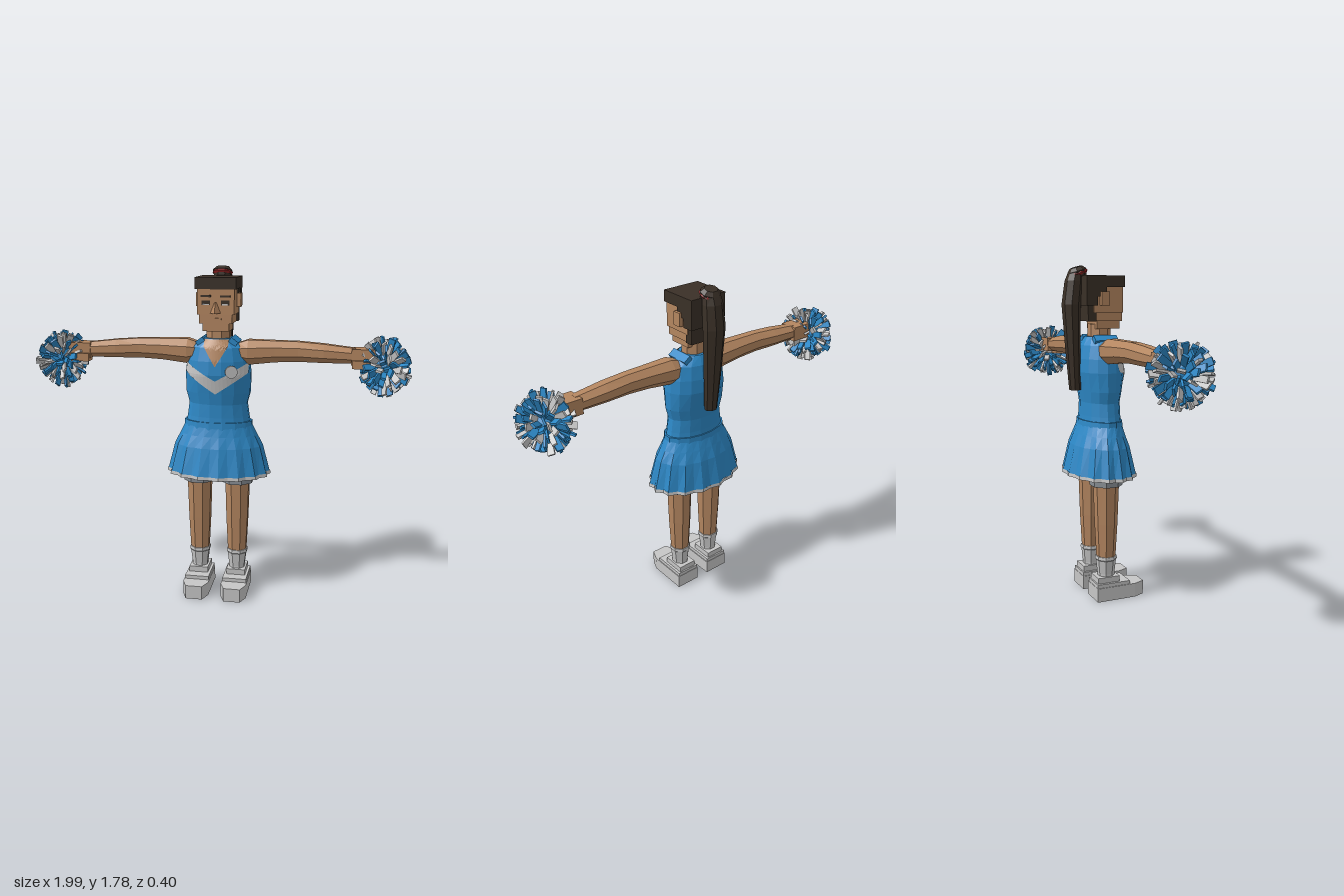
import * as THREE from 'three';
import { mergeGeometries } from 'three/addons/utils/BufferGeometryUtils.js';

const mat = (name, color, side = THREE.FrontSide) => {
  const m = new THREE.MeshStandardMaterial({ color, side });
  m.name = name;
  return m;
};
const blue = mat('uniform blue', 0x2d88c6, THREE.DoubleSide);
const white = mat('trim white', 0xc6c6c6, THREE.DoubleSide);
const skin = mat('skin', 0xb48660, THREE.DoubleSide);
const hair = mat('dark hair', 0x3a3027);
const red = mat('hair tie red', 0x8e2222);
const grey = mat('shorts grey', 0x8b9197);

// Flat-faced copy of a geometry
function flat(g) {
  const f = g.index ? g.toNonIndexed() : g;
  f.computeVertexNormals();
  return f;
}

// Stacked elliptical rings; section = [y, rx, rz, cx, cz, pleatDepth]
function column(sections, n = 8, capped = true) {
  const pos = [], idx = [];
  for (const [y, rx, rz, cx = 0, cz = 0, pleat = 0] of sections) {
    for (let i = 0; i < n; i++) {
      const a = ((i + 0.5) / n) * Math.PI * 2, k = i % 2 ? 1 - pleat : 1;
      pos.push(cx + Math.cos(a) * rx * k, y, cz - Math.sin(a) * rz * k);
    }
  }
  for (let r = 0; r < sections.length - 1; r++) {
    for (let i = 0; i < n; i++) {
      const a = r * n + i, b = r * n + (i + 1) % n;
      idx.push(a, b, b + n, a, b + n, a + n);
    }
  }
  if (capped) {
    const top = (sections.length - 1) * n;
    for (let i = 1; i < n - 1; i++) idx.push(0, i + 1, i, top, top + i, top + i + 1);
  }
  const g = new THREE.BufferGeometry();
  g.setAttribute('position', new THREE.Float32BufferAttribute(pos, 3));
  g.setIndex(idx);
  return flat(g);
}

// Box given by its limits on each axis
function box(x0, x1, y0, y1, z0, z1) {
  return new THREE.BoxGeometry(Math.abs(x1 - x0), y1 - y0, z1 - z0)
    .translate((x0 + x1) / 2, (y0 + y1) / 2, (z0 + z1) / 2);
}

const TORSO = [[0.94, 0.18, 0.105], [1.0, 0.168, 0.1], [1.07, 0.158, 0.098], [1.13, 0.174, 0.106],
  [1.23, 0.176, 0.122], [1.3, 0.168, 0.116], [1.37, 0.15, 0.1], [1.415, 0.085, 0.075]];

// Depth of the torso front at a point
function torsoFront(x, y) {
  let i = 0;
  while (i < TORSO.length - 2 && y > TORSO[i + 1][0]) i++;
  const [y0, a0, b0] = TORSO[i], [y1, a1, b1] = TORSO[i + 1];
  const t = Math.min(1, (y - y0) / (y1 - y0));
  const rx = a0 + (a1 - a0) * t, rz = b0 + (b1 - b0) * t;
  return rz * Math.sqrt(Math.max(0, 1 - (x / rx) ** 2));
}

// Thin patch that follows the torso between two height curves
function torsoPatch(halfWidth, low, high, offset) {
  const g = new THREE.PlaneGeometry(2 * halfWidth, 1, 16, 5), p = g.attributes.position;
  for (let i = 0; i < p.count; i++) {
    const x = p.getX(i), t = p.getY(i) + 0.5, y = low(Math.abs(x)) * (1 - t) + high(Math.abs(x)) * t;
    p.setXYZ(i, x, y, torsoFront(x, y) + offset);
  }
  return flat(g);
}

// Ball of radiating strips, split in two colours
function pompom(seed) {
  let s = seed;
  const rand = () => (s = (s * 16807) % 2147483647) / 2147483647;
  const sets = [[new THREE.IcosahedronGeometry(0.085, 1).toNonIndexed()], []];
  const count = 120, up = new THREE.Vector3(0, 1, 0);
  for (let i = 0; i < count; i++) {
    const y = 1 - (2 * i + 1) / count, r = Math.sqrt(1 - y * y), a = i * 2.39996;
    const dir = new THREE.Vector3(Math.cos(a) * r, y, Math.sin(a) * r);
    const len = 0.135 + rand() * 0.03;
    const strip = new THREE.BoxGeometry(0.028 + rand() * 0.012, len - 0.04, 0.012)
      .translate(0, (len + 0.04) / 2, 0).rotateY(rand() * Math.PI)
      .applyQuaternion(new THREE.Quaternion().setFromUnitVectors(up, dir));
    sets[rand() < 0.52 ? 0 : 1].push(strip.toNonIndexed());
  }
  return sets.map(list => flat(mergeGeometries(list).scale(0.86, 1, 1)));
}

export function createModel() {
  const model = new THREE.Group();
  const add = (name, geometry, material) => {
    const m = new THREE.Mesh(geometry, material);
    m.name = name;
    model.add(m);
    return m;
  };

  // Top and its decoration
  add('top', column(TORSO, 16), blue);
  add('chestChevron', torsoPatch(0.165, x => 1.13 + x * 0.66, x => 1.2 + x * 0.56, 0.004), white);
  add('neckline', torsoPatch(0.064, x => 1.275 + x * 1.6, () => 1.412, 0.004), skin);
  add('badge', new THREE.CylinderGeometry(0.033, 0.033, 0.012, 12).rotateX(Math.PI / 2)
    .rotateY(0.3).translate(0.085, 1.25, torsoFront(0.085, 1.25) + 0.007), white);

  // Skirt with pleats and hem
  add('waistband', column([[0.925, 0.186, 0.113], [0.975, 0.184, 0.108]], 16), blue);
  add('skirt', column([[0.693, 0.279, 0.183, 0, -0.004, 0.07], [0.84, 0.24, 0.148, 0, -0.004, 0.045],
    [0.9, 0.208, 0.125, 0, -0.003, 0.02], [0.95, 0.183, 0.108]], 32, false), blue);
  add('skirtHem', column([[0.677, 0.285, 0.188, 0, -0.004, 0.07], [0.695, 0.282, 0.186, 0, -0.004, 0.07]],
    32, false), white);
  add('shortsHips', column([[0.71, 0.17, 0.095], [0.9, 0.17, 0.1]], 12), grey);

  // Neck and head
  add('neck', column([[1.32, 0.072, 0.066], [1.4, 0.068, 0.062], [1.48, 0.064, 0.06]], 8), skin);
  add('face', box(-0.096, 0.096, 1.54, 1.69, -0.07, 0.094), skin);
  add('cheeks', box(-0.085, 0.085, 1.495, 1.54, -0.06, 0.094), skin);
  add('jaw', box(-0.068, 0.068, 1.455, 1.495, -0.04, 0.088), skin);
  add('nose', flat(new THREE.CylinderGeometry(0.006, 0.034, 0.055, 4).scale(0.8, 1, 1)
    .translate(0, 1.575, 0.096)), skin);
  add('mouth', box(-0.03, 0.03, 1.515, 1.523, 0.09, 0.097), skin);

  // Hair cap, steps at the back
  add('hairTop', box(-0.106, 0.106, 1.668, 1.727, -0.112, 0.1), hair);
  add('hairBack', box(-0.106, 0.106, 1.575, 1.67, -0.112, -0.05), hair);
  add('hairNape', box(-0.094, 0.094, 1.495, 1.576, -0.1, -0.055), hair);

  // Ponytail with its knot and tie
  add('ponytail', column([[1.135, 0.036, 0.03, 0, -0.138], [1.35, 0.05, 0.038, 0, -0.149],
    [1.58, 0.062, 0.048, 0, -0.157], [1.7, 0.056, 0.046, 0, -0.142], [1.75, 0.045, 0.034, 0, -0.132]], 8), hair);
  const knot = new THREE.Group();
  knot.name = 'hairKnot';
  const bun = new THREE.Mesh(column([[-0.03, 0.046, 0.042], [0.005, 0.054, 0.05], [0.024, 0.036, 0.032]], 8), hair);
  bun.name = 'bun';
  const tie = new THREE.Mesh(flat(new THREE.TorusGeometry(0.044, 0.011, 5, 10).rotateX(Math.PI / 2)
    .translate(0, -0.006, 0)), red);
  tie.name = 'hairTie';
  knot.add(bun, tie);
  knot.position.set(0, 1.747, -0.123);
  knot.rotation.x = -0.3;
  model.add(knot);

  for (const s of [1, -1]) {
    const side = s > 0 ? 'left' : 'right';
    const sbox = (x0, x1, ...rest) => box(s * x0, s * x1, ...rest);

    // Face details
    add(side + 'Ear', sbox(0.09, 0.118, 1.575, 1.645, -0.035, 0.01), skin);
    add(side + 'Sideburn', sbox(0.09, 0.104, 1.62, 1.67, -0.06, 0.0), hair);
    add(side + 'Eye', sbox(0.028, 0.072, 1.588, 1.612, 0.092, 0.096), hair);
    add(side + 'EyeWhite', sbox(0.034, 0.066, 1.588, 1.595, 0.093, 0.098), white);
    add(side + 'Eyebrow', sbox(0.024, 0.076, 1.628, 1.638, 0.092, 0.098), hair);

    // Collar flap
    const collar = add(side + 'Collar', new THREE.BoxGeometry(0.045, 0.03, 0.13), blue);
    collar.position.set(s * 0.086, 1.398, 0);
    collar.rotation.z = -s * 0.65;

    // Arm reaching sideways, built upright and then laid down
    const arm = [[0.11, 0.05, 0.062, -1.345], [0.16, 0.07, 0.07, -1.343], [0.3, 0.06, 0.06, -1.35],
      [0.42, 0.056, 0.056, -1.352], [0.55, 0.052, 0.06, -1.346], [0.71, 0.042, 0.05, -1.337]]
      .map(([y, rx, rz, cx]) => [y, rx, rz, s * cx, 0.005]);
    add(side + 'Arm', column(arm, 8).rotateZ(-s * Math.PI / 2), skin);
    add(side + 'Hand', sbox(0.69, 0.81, 1.295, 1.375, -0.045, 0.055), skin);
    add(side + 'Fingers', sbox(0.695, 0.8, 1.278, 1.32, 0.01, 0.072), skin);

    // Pompom
    pompom(s > 0 ? 4711 : 9203).forEach((g, i) =>
      add(side + 'Pompom' + (i ? 'White' : 'Blue'), g.translate(s * 0.86, 1.285, 0.015), i ? white : blue));

    // Leg, shorts and sock
    const x = s * 0.105, z = -0.004;
    add(side + 'Leg', column([[0.2, 0.052, 0.05, x, z], [0.42, 0.063, 0.062, x, z],
      [0.66, 0.07, 0.07, x, z]], 8), skin);
    add(side + 'ShortsLeg', column([[0.63, 0.089, 0.088, x, z], [0.8, 0.092, 0.095, x, z]], 8), grey);
    add(side + 'Sock', column([[0.1, 0.045, 0.047, x, z], [0.14, 0.045, 0.047, x, z],
      [0.215, 0.055, 0.055, x, z], [0.22, 0.06, 0.06, x, z], [0.237, 0.058, 0.058, x, z]], 8), white);

    // Shoe with cut toe corners
    const sole = new THREE.Shape([[-0.07, 0.08], [-0.07, -0.14], [-0.045, -0.2], [0.045, -0.2],
      [0.07, -0.14], [0.07, 0.08]].map(p => new THREE.Vector2(...p)));
    add(side + 'ShoeSole', new THREE.ExtrudeGeometry(sole, { depth: 0.076, bevelEnabled: false })
      .rotateX(-Math.PI / 2).translate(x, 0, 0), white);
    add(side + 'ShoeBody', box(x - 0.066, x + 0.066, 0.07, 0.096, -0.078, 0.11), white);
    add(side + 'ShoeCollar', box(x - 0.052, x + 0.052, 0.09, 0.127, -0.07, 0.055), white);
  }
  return model;
}
